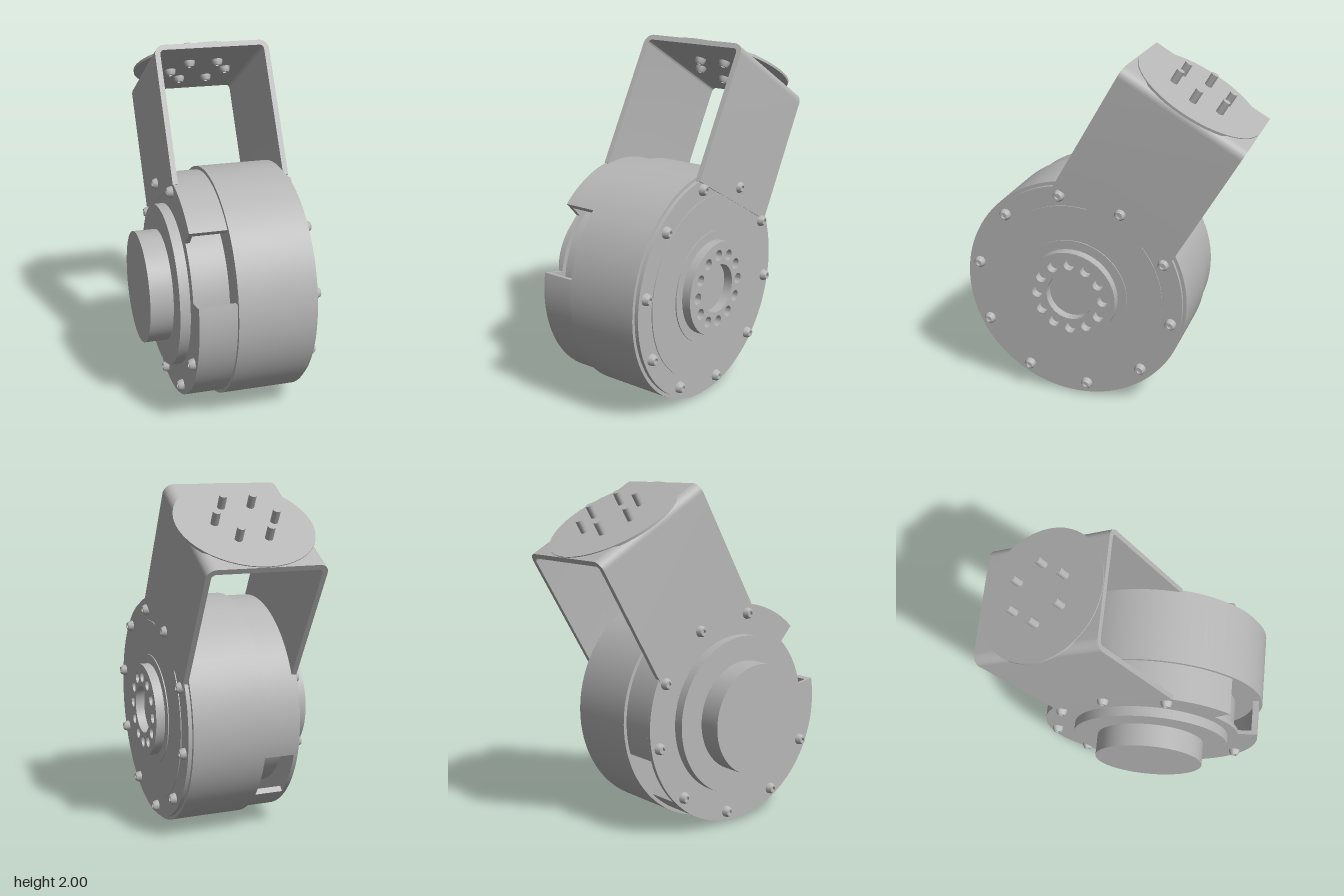
import * as THREE from 'three';
import { toCreasedNormals } from 'three/addons/utils/BufferGeometryUtils.js';

const metal = new THREE.MeshStandardMaterial({ color: 0xb6b6b6 });
metal.name = 'grey metal';
const rad = THREE.MathUtils.degToRad;

export function createModel() {
  const model = new THREE.Group();
  model.name = 'motorWithBracket';

  // Everything hangs on the drum axis, which runs along x
  const motor = new THREE.Group();
  motor.name = 'motor';
  motor.position.set(0, 0.665, 0.155);
  model.add(motor);

  const add = (parent, name, geometry) => {
    const mesh = new THREE.Mesh(toCreasedNormals(geometry, 0.6), metal);
    mesh.name = name;
    parent.add(mesh);
    return mesh;
  };

  // Extrude a side profile from x0 to x1 (profile angles: 0 = up, positive = forward)
  const slab = (name, shape, x0, x1, segments = 24) => {
    const g = new THREE.ExtrudeGeometry(shape, { depth: x1 - x0, bevelEnabled: false, curveSegments: segments });
    g.rotateY(Math.PI / 2).translate(x0, 0, 0);
    return add(motor, name, g);
  };
  const circle = (r, x = 0, y = 0) => new THREE.Shape().absarc(x, y, r, 0, Math.PI * 2);
  const drum = (name, r, x0, x1) => slab(name, circle(r), x0, x1, 48);
  const sector = (ri, ro, from, to) => {
    const a = rad(90 + from), b = rad(90 + to), s = new THREE.Shape();
    s.absarc(0, 0, ro, a, b, false);
    s.absarc(0, 0, ri, b, a, true);
    s.closePath();
    return s;
  };

  // Main drum, inner core and right cover
  drum('mainDrum', 0.665, -0.06, 0.37);
  drum('innerCore', 0.5, -0.25, -0.06);
  drum('rightCover', 0.645, 0.37, 0.392);
  drum('rightCoverDisc', 0.53, 0.392, 0.397);

  // Rear housing wall with an open window at the front and one at the back
  slab('frontLowerWall', sector(0.61, 0.645, 79, 226), -0.25, -0.06, 40);
  slab('topBackWall', sector(0.61, 0.645, -106, 43), -0.25, -0.06, 40);

  // Left cover, notched at the front window
  const notched = new THREE.Shape();
  notched.absarc(0, 0, 0.645, rad(90 + 79), rad(90 + 43 + 360), false);
  notched.absarc(0, 0, 0.53, rad(90 + 43), rad(90 + 79), false);
  notched.closePath();
  slab('leftCover', notched, -0.272, -0.248, 48);

  // Stepped boss on the left
  drum('leftBossBase', 0.467, -0.33, -0.27);
  drum('leftBossCap', 0.322, -0.462, -0.33);

  // Output hub on the right with a bore and a ring of holes
  drum('hubBase', 0.325, 0.39, 0.403);
  const hub = circle(0.272);
  hub.holes.push(circle(0.14));
  for (let i = 0; i < 12; i++) {
    const a = (i / 12) * Math.PI * 2;
    hub.holes.push(circle(0.032, 0.198 * Math.cos(a), 0.198 * Math.sin(a)));
  }
  slab('outputHub', hub, 0.4, 0.456, 20);

  // Domed screw heads with a socket
  const headGeometry = () => new THREE.LatheGeometry(
    [[0.034, 0], [0.031, 0.018], [0.022, 0.034], [0.013, 0.034], [0.013, 0.018], [0, 0.018]]
      .map(([x, y]) => new THREE.Vector2(x, y)), 14);
  for (let i = 0; i < 10; i++) {
    const a = rad(7.3 + i * 36);
    const y = 0.59 * Math.cos(a), z = 0.59 * Math.sin(a);
    add(motor, 'rightScrew', headGeometry().rotateZ(-Math.PI / 2)).position.set(0.391, y, z);
    // The front window has no screws on the left
    if (i !== 1 && i !== 2) {
      add(motor, 'leftScrew', headGeometry().rotateZ(Math.PI / 2)).position.set(-0.271, y, z);
    }
  }

  // U-shaped bracket leaning backwards
  const bracket = new THREE.Group();
  bracket.name = 'bracket';
  bracket.rotation.x = rad(-30);
  motor.add(bracket);
  const L = -0.275, R = 0.4, T = 1.302, B = 0.5, t = 0.03, r = 0.055, q = r - t;
  const u = new THREE.Shape();
  u.moveTo(L, B);
  u.lineTo(L + t, B);
  u.lineTo(L + t, T - r);
  u.absarc(L + r, T - r, q, Math.PI, Math.PI / 2, true);
  u.lineTo(R - r, T - t);
  u.absarc(R - r, T - r, q, Math.PI / 2, 0, true);
  u.lineTo(R - t, B);
  u.lineTo(R, B);
  u.lineTo(R, T - r);
  u.absarc(R - r, T - r, r, 0, Math.PI / 2, false);
  u.lineTo(L + r, T);
  u.absarc(L + r, T - r, r, Math.PI / 2, Math.PI, false);
  u.closePath();
  const uGeometry = new THREE.ExtrudeGeometry(u, { depth: 0.775, bevelEnabled: false, curveSegments: 8 });
  add(bracket, 'bracketFrame', uGeometry.translate(0, 0, -0.3625));

  // Round mounting flange on the bracket
  const flange = new THREE.Group();
  flange.name = 'mountingFlange';
  flange.position.set(0.065, T, 0.025);
  bracket.add(flange);
  add(flange, 'flangeDisc', new THREE.CylinderGeometry(0.385, 0.385, 0.014, 48)).position.y = -0.002;

  // Six bolts: pins above, domed heads below
  for (let i = 0; i < 6; i++) {
    const a = (i / 6) * Math.PI * 2;
    const x = 0.17 * Math.cos(a), z = 0.17 * Math.sin(a);
    add(flange, 'boltPin', new THREE.CylinderGeometry(0.022, 0.022, 0.11, 14)).position.set(x, 0.025, z);
    add(flange, 'boltHead', headGeometry().rotateX(Math.PI)).position.set(x, -t, z);
  }

  return model;
}
